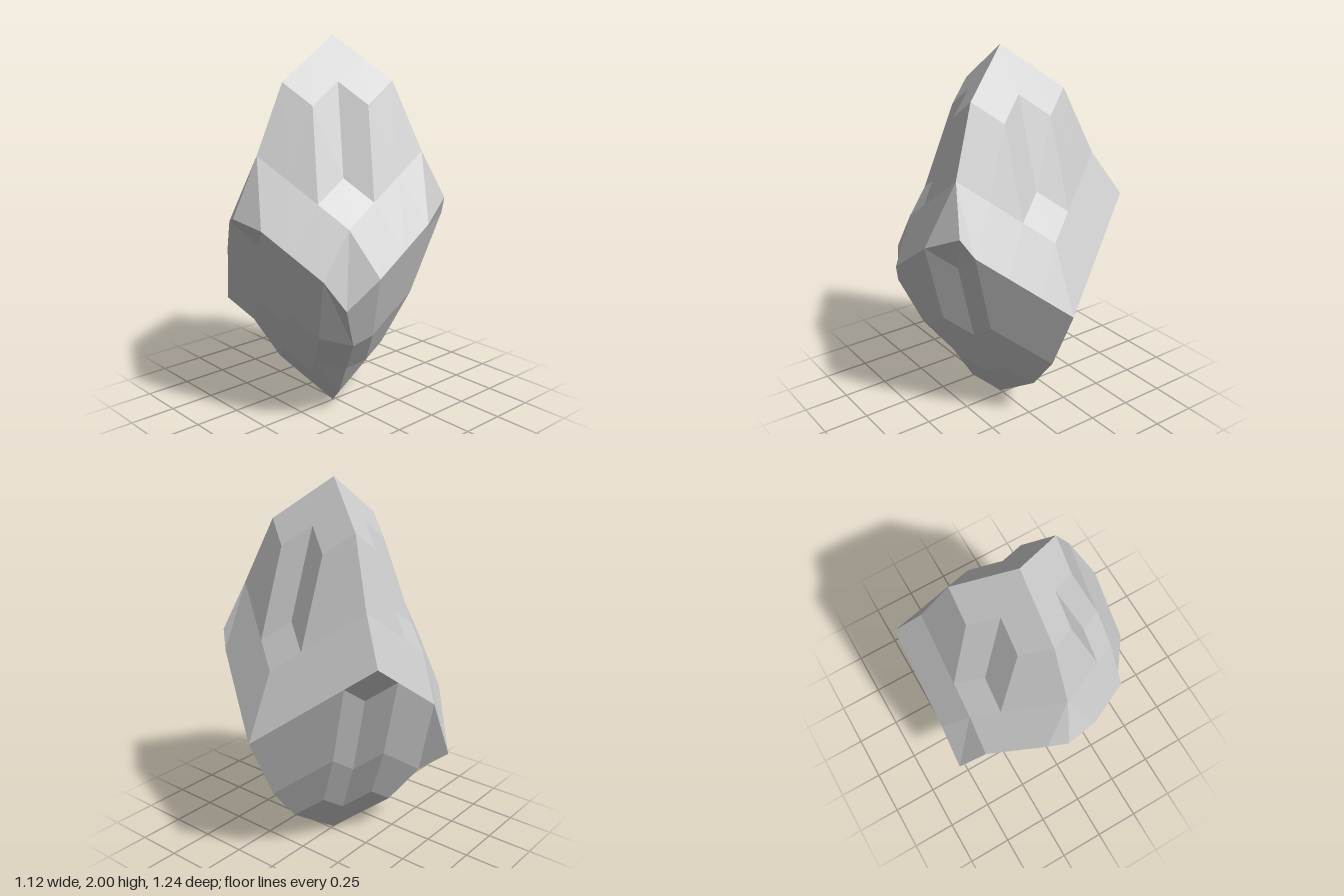
import * as THREE from 'three';

const N = 4; // cells along each edge of the tilted block
// horizontal direction (x, z) of the three edges that run down from the peak
const AXES = [[-0.135, -0.085], [0.14, -0.075], [-0.005, 0.16]];
// chipped or shifted corners, keyed by lattice position
const CORNERS = {
  '0,4,0': [0.48, 1.19, -0.32],
  '0,0,4': [-0.06, 1.13, 0.62],
  '0,4,4': [0.46, 0.72, 0.34],
  '1,4,4': [0.38, 0.49, 0.22],
  '2,4,4': [0.24, 0.3, 0.14],
  '3,4,4': [0.14, 0.12, 0.1],
  '4,0,4': [-0.56, 0.53, 0.32],
};

// extra drop in stepped terraces, measured from the peak and from the foot
function terrace(p) {
  const near = [...p].sort((a, b) => b - a);
  const far = p.map(v => N - v).sort((a, b) => b - a);
  const core = ([m, n]) => m <= 2 && m + n <= 3;
  if (near[2] === 0) { // upper faces
    if (core(near)) return 0;
    return near[0] < N ? 0.235 : 0.355;
  }
  if (core(far)) return 0.68;
  if (far[0] === N || far[1] === 3) return 0.355;
  return 0.59;
}

function latticePoint(p) {
  const chip = CORNERS[p.join()];
  if (chip) return chip;
  const x = p.reduce((s, v, i) => s + v * AXES[i][0], 0);
  const z = 0.02 + p.reduce((s, v, i) => s + v * AXES[i][1], 0);
  const y = 2 - 0.11 * (p[0] + p[1] + p[2]) - terrace(p);
  return [x, Math.max(0, y), z];
}

export function createModel() {
  const pos = [];
  // six faces of the block: three meet at the peak, three at the foot
  for (let n = 0; n < 3; n++) {
    for (const side of [0, N]) {
      const at = (i, j) => {
        const p = [0, 0, 0];
        p[n] = side;
        p[(n + 1) % 3] = i;
        p[(n + 2) % 3] = j;
        return latticePoint(p);
      };
      for (let i = 0; i < N; i++) {
        for (let j = 0; j < N; j++) {
          const a = at(i, j), b = at(i + 1, j), c = at(i + 1, j + 1), d = at(i, j + 1);
          if (side === 0) pos.push(...a, ...c, ...b, ...a, ...d, ...c);
          else pos.push(...a, ...b, ...c, ...a, ...c, ...d);
        }
      }
    }
  }
  const geo = new THREE.BufferGeometry();
  geo.setAttribute('position', new THREE.Float32BufferAttribute(pos, 3));
  geo.computeVertexNormals();

  const rock = new THREE.Mesh(geo, new THREE.MeshStandardMaterial({ color: 0xcccccc, flatShading: true }));
  rock.name = 'rock';
  const group = new THREE.Group();
  group.name = 'boulder';
  group.add(rock);
  return group;
}
